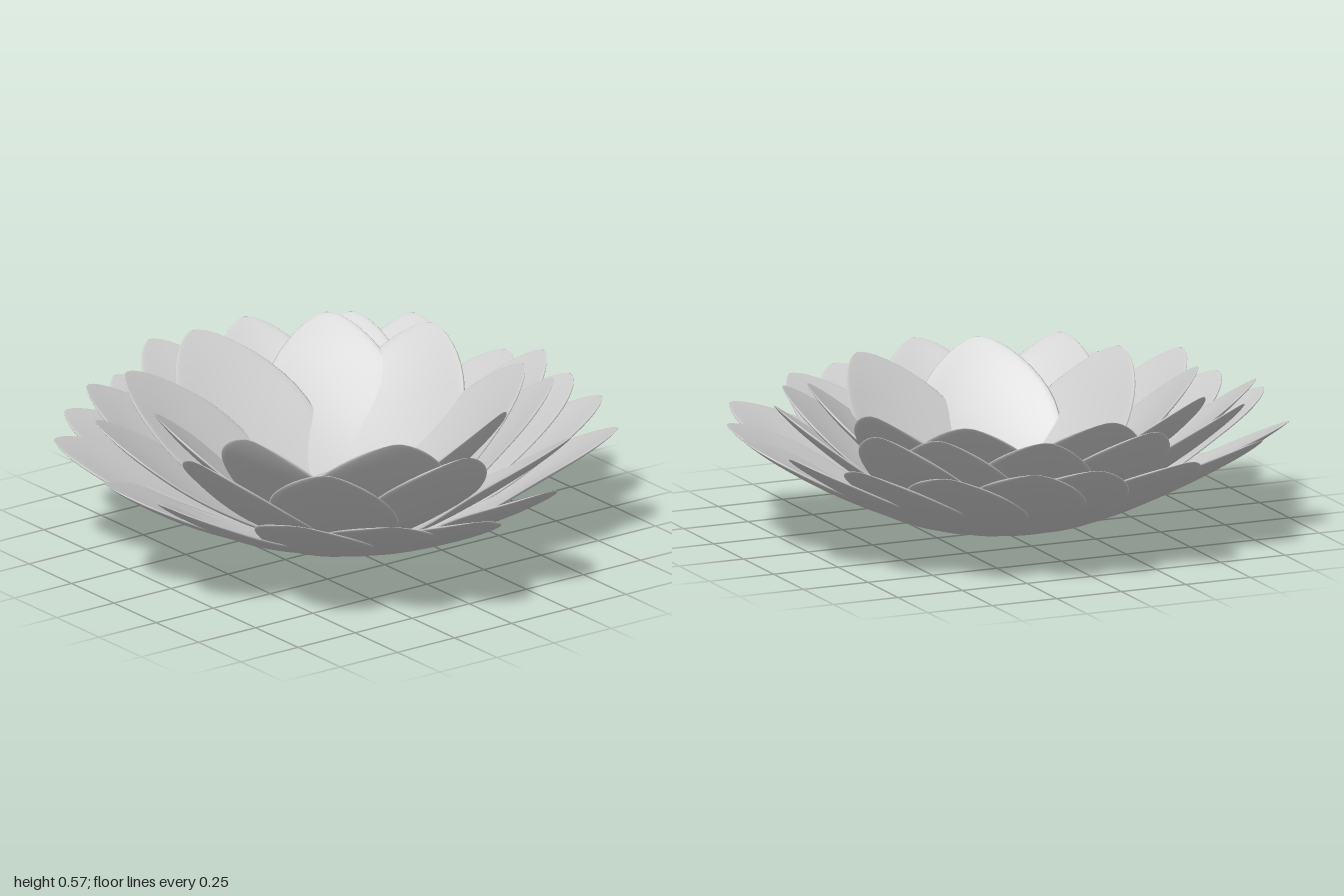
import * as THREE from 'three';
import { mergeVertices } from 'three/addons/utils/BufferGeometryUtils.js';

const CENTRE = { x: 0.02, z: -0.03 };

// Each ring: where petals start, tip height, rise curve, half width,
// and petal tips [x, z] with an own height where a petal differs
const RINGS = [
  {
    name: 'outerPetal', baseR: 0.2, baseY: 0.045, tipY: 0.425, rise: 1.4, width: 0.215,
    tips: [[0.08, -0.98, 0.44], [0.3, -0.95, 0.44], [0.58, -0.82], [0.82, -0.6], [0.96, -0.34], [1, 0],
      [0.95, 0.25], [0.8, 0.55], [0.22, 0.93], [-0.12, 0.98, 0.4], [-0.41, 0.87, 0.41], [-0.7, 0.7],
      [-0.96, 0.27], [-1, -0.03], [-0.87, -0.53], [-0.66, -0.75], [-0.3, -0.94]],
  },
  {
    name: 'middlePetal', baseR: 0.09, baseY: 0.037, tipY: 0.54, rise: 1.5, width: 0.23,
    tips: [[-0.17, -0.91], [0.24, -0.9], [0.57, -0.72], [0.74, -0.58], [0.88, 0], [0.73, 0.26],
      [0.52, 0.65, 0.48], [0, 0.73], [-0.5, 0.59], [-0.79, 0.2], [-0.83, -0.34], [-0.63, -0.66]],
  },
  {
    name: 'innerPetal', baseR: 0.03, baseY: 0.045, tipY: 0.57, rise: 1.5, width: 0.26,
    tips: [[-0.04, -0.83], [0.45, -0.7], [0.68, -0.4], [0.69, 0.14], [0.33, 0.5],
      [-0.16, 0.54], [-0.55, 0.2], [-0.67, -0.2], [-0.49, -0.62]],
  },
];
const CUP = 0.03;       // how far both side edges curl up
const ROLL = 0.022;     // sideways tilt of the upper half, overlapping like a pinwheel
const THICKNESS = 0.009;

// A petal is a sphere reshaped into a thin curved leaf running outward along +z
function petalGeometry(ring, length, tipY) {
  const geo = new THREE.SphereGeometry(1, 28, 24);
  geo.deleteAttribute('uv');
  geo.deleteAttribute('normal');
  const pos = geo.attributes.position;
  const rise = tipY - ring.baseY;
  for (let i = 0; i < pos.count; i++) {
    const x = pos.getX(i), z = pos.getZ(i);
    const t = THREE.MathUtils.clamp((1 + pos.getY(i)) / 2, 0, 1);
    const s = Math.hypot(x, z) || 1;
    // outline: rounded base, widest past the middle, blunt tip
    const outline = Math.pow(Math.max(0, Math.sin(Math.PI * Math.pow(t, 1.25))), 0.6);
    const u = (x / s) * outline;
    const side = -z / s;
    const thick = Math.sign(side) * Math.pow(Math.abs(side), 0.6) * THICKNESS * Math.min(1, outline * 1.6);
    // offset along the normal of the rising centre line
    const slope = (rise * ring.rise * Math.pow(t, ring.rise - 1)) / length;
    const n = Math.hypot(1, slope);
    const off = CUP * u * u - ROLL * u * THREE.MathUtils.smoothstep(t, 0.25, 0.75) + thick;
    pos.setXYZ(i,
      u * ring.width,
      ring.baseY + rise * Math.pow(t, ring.rise) + off / n,
      ring.baseR + length * t - (off * slope) / n);
  }
  const merged = mergeVertices(geo, 1e-5);
  merged.computeVertexNormals();
  return merged;
}

export function createModel() {
  const model = new THREE.Group();
  model.name = 'flower';
  const material = new THREE.MeshStandardMaterial({ color: 0xcccccc, side: THREE.DoubleSide });

  // Petal rings, each petal aimed from the flower centre at its tip
  for (const ring of RINGS) {
    ring.tips.forEach(([x, z, tipY = ring.tipY], i) => {
      const dx = x - CENTRE.x, dz = z - CENTRE.z;
      const petal = new THREE.Mesh(petalGeometry(ring, Math.hypot(dx, dz) - ring.baseR, tipY), material);
      petal.name = `${ring.name}${i + 1}`;
      petal.position.set(CENTRE.x, 0, CENTRE.z);
      petal.rotation.y = Math.atan2(dx, dz);
      model.add(petal);
    });
  }

  // Flattened round heart of the flower, showing slightly underneath
  const heart = new THREE.Mesh(new THREE.SphereGeometry(0.175, 40, 28), material);
  heart.name = 'heart';
  heart.scale.y = 0.72;
  heart.position.set(CENTRE.x, 0.126, CENTRE.z);
  model.add(heart);

  return model;
}
